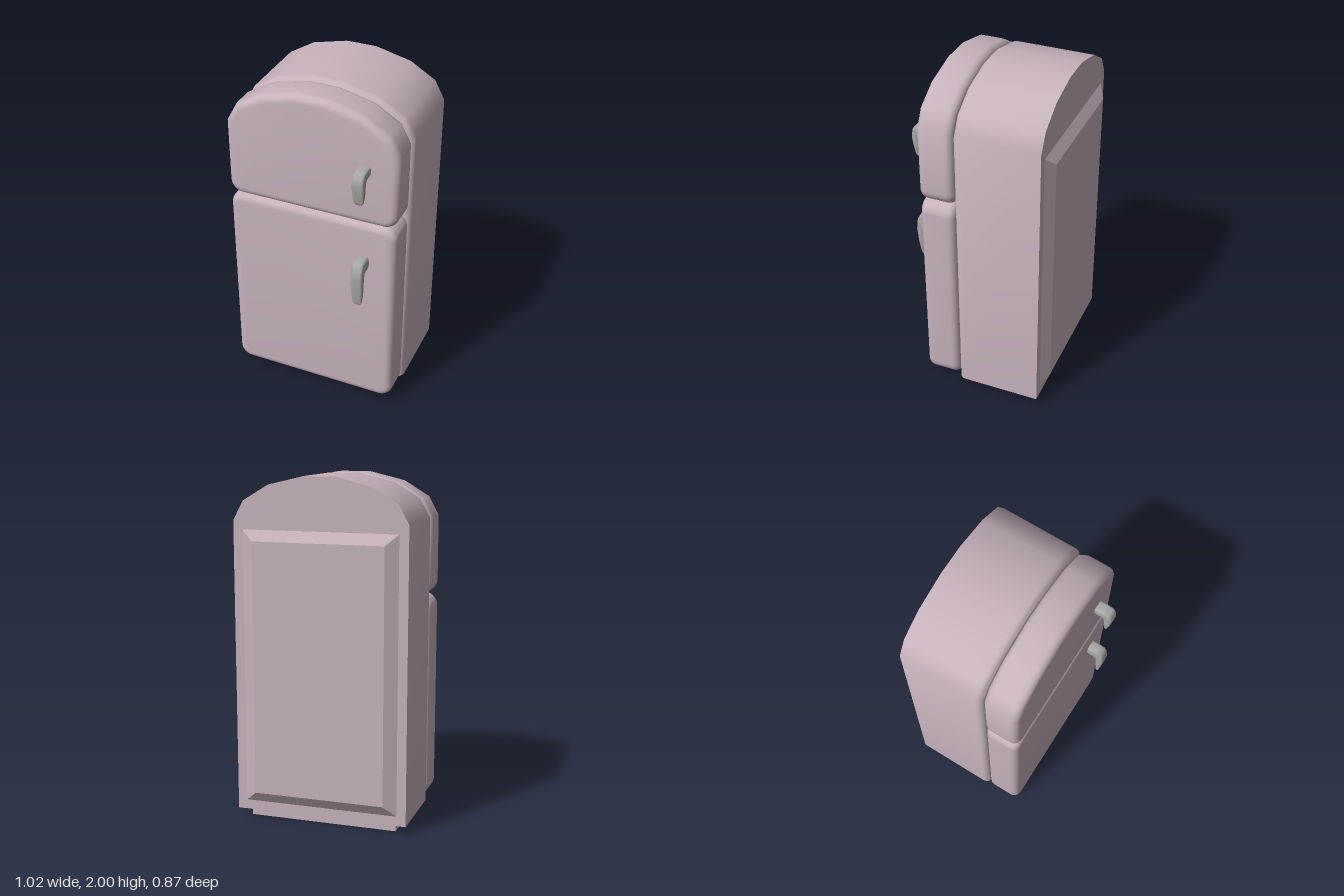
import * as THREE from 'three';
import { toCreasedNormals } from 'three/addons/utils/BufferGeometryUtils.js';

const HALF = 0.51, FLOOR = 0.05, TOP = 2;
// right half of the arched top, from the shoulder to the crown
const ARCH = [[HALF, 1.75], [0.45, 1.86], [0.3, 1.95], [0.09, TOP]];
const archPoints = [...ARCH, ...ARCH.map(([x, y]) => [-x, y]).reverse()];

export function createModel() {
  const group = new THREE.Group();
  const enamel = new THREE.MeshStandardMaterial({ color: 0xc6b2bc });
  const metal = new THREE.MeshStandardMaterial({ color: 0xa8a9a6 });

  const add = (name, geometry, material = enamel) => {
    const mesh = new THREE.Mesh(geometry, material);
    mesh.name = name;
    group.add(mesh);
    return mesh;
  };

  add('cabinet', cabinetGeometry());
  add('backPanel', backPanelGeometry());
  add('plinth', new THREE.BoxGeometry(0.88, 0.06, 0.425)).position.set(0, 0.03, -0.1325);
  add('freezerDoor', doorGeometry(1.29, null));
  add('fridgeDoor', doorGeometry(FLOOR, 1.29));
  add('freezerHandle', handleGeometry(1.47, 0.2), metal);
  add('fridgeHandle', handleGeometry(0.79, 0.29), metal);
  return group;
}

// Arched prism whose front rim is rounded over; the base stays flat
function cabinetGeometry() {
  const shape = new THREE.Shape();
  shape.moveTo(-HALF, FLOOR);
  shape.lineTo(HALF, FLOOR);
  archPoints.forEach(([x, y]) => shape.lineTo(x, y));
  const arcSteps = 6, steps = arcSteps + 1;
  const geo = new THREE.ExtrudeGeometry(shape, { depth: steps, steps, bevelEnabled: false });
  const p = geo.attributes.position;
  for (let i = 0; i < p.count; i++) {
    const step = Math.round(p.getZ(i));
    const a = (Math.max(step - 1, 0) / arcSteps) * Math.PI / 2;
    const inset = 0.04 * (1 - Math.cos(a));
    const z = step === 0 ? -0.39 : 0.07 + 0.045 * Math.sin(a);
    p.setXYZ(i,
      p.getX(i) * (1 - inset / HALF),
      FLOOR + (p.getY(i) - FLOOR) * (1 - inset / (TOP - FLOOR)),
      z);
  }
  return toCreasedNormals(geo, 0.7);
}

// Pillow-edged door; without a top height it follows the arch
function doorGeometry(y0, y1) {
  const r = 0.08, bevel = 0.045, back = 0.115, front = 0.328;
  const shape = new THREE.Shape();
  shape.moveTo(-HALF + r, y0);
  shape.lineTo(HALF - r, y0);
  shape.absarc(HALF - r, y0 + r, r, -Math.PI / 2, 0);
  if (y1 === null) {
    archPoints.forEach(([x, y]) => shape.lineTo(x, y));
  } else {
    shape.absarc(HALF - r, y1 - r, r, 0, Math.PI / 2);
    shape.absarc(-HALF + r, y1 - r, r, Math.PI / 2, Math.PI);
  }
  shape.absarc(-HALF + r, y0 + r, r, Math.PI, Math.PI * 1.5);
  const geo = new THREE.ExtrudeGeometry(shape, {
    depth: front - back - 2 * bevel, curveSegments: 6,
    bevelSize: bevel, bevelThickness: bevel, bevelOffset: -bevel, bevelSegments: 6,
  });
  geo.translate(0, 0, back + bevel);
  return toCreasedNormals(geo, 0.7);
}

// Raised rectangular panel with sloping sides
function backPanelGeometry() {
  const geo = new THREE.BoxGeometry(2, 2, 1).toNonIndexed();
  const p = geo.attributes.position;
  for (let i = 0; i < p.count; i++) {
    const outer = p.getZ(i) < 0;
    p.setXYZ(i,
      p.getX(i) * (outer ? 0.385 : 0.457),
      0.903 + p.getY(i) * (outer ? 0.735 : 0.798),
      outer ? -0.43 : -0.389);
  }
  geo.computeVertexNormals();
  return geo;
}

// Hooked handle: soft rectangular sections swept out from the door and down.
// Each section: outer z, outer height, inner z, inner height, half width
function handleGeometry(y0, height) {
  const sections = [
    [0.31, 1, 0.31, 0.7, 0.035],
    [0.375, 1, 0.37, 0.7, 0.035],
    [0.41, 0.98, 0.381, 0.65, 0.035],
    [0.429, 0.86, 0.385, 0.56, 0.035],
    [0.436, 0.65, 0.387, 0.45, 0.035],
    [0.427, 0.35, 0.391, 0.25, 0.034],
    [0.415, 0.07, 0.395, 0.06, 0.027],
    [0.409, 0, 0.398, 0, 0.018],
  ];
  const n = 16, pos = [], index = [];
  const soften = (v) => Math.sign(v) * Math.sqrt(Math.abs(v));
  sections.forEach(([zo, vo, zi, vi, w], i) => {
    for (let j = 0; j < n; j++) {
      const a = (j / n) * Math.PI * 2;
      const t = (soften(Math.sin(a)) + 1) / 2;
      pos.push(0.32 + w * soften(Math.cos(a)),
        y0 + height * (vi + (vo - vi) * t),
        zi + (zo - zi) * t);
      if (i === 0) continue;
      const k = (j + 1) % n, lo = (i - 1) * n, hi = i * n;
      index.push(lo + j, lo + k, hi + j, lo + k, hi + k, hi + j);
    }
  });
  // close the tip
  const last = (sections.length - 1) * n;
  for (let j = 1; j < n - 1; j++) index.push(last, last + j, last + j + 1);
  const geo = new THREE.BufferGeometry();
  geo.setAttribute('position', new THREE.Float32BufferAttribute(pos, 3));
  geo.setIndex(index);
  geo.computeVertexNormals();
  return geo;
}
